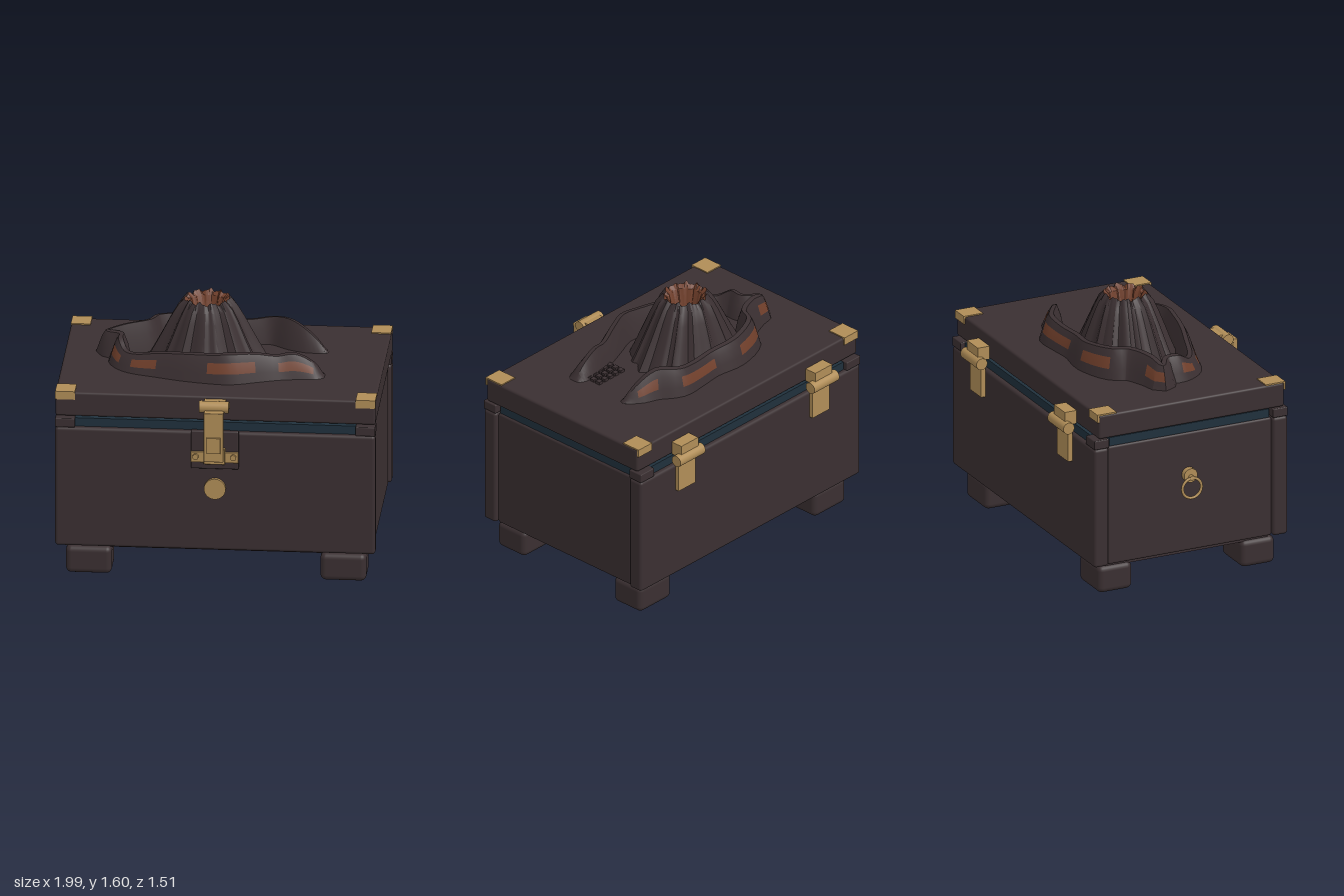
import * as THREE from 'three';
import { RoundedBoxGeometry } from 'three/addons/geometries/RoundedBoxGeometry.js';
import { toCreasedNormals } from 'three/addons/utils/BufferGeometryUtils.js';

const material = (name, color, side = THREE.FrontSide) => {
  const m = new THREE.MeshStandardMaterial({ color, side });
  m.name = name;
  return m;
};

// Surface through a grid of points; pick(i, j) gives the material index of a cell
function gridGeometry(points, pick) {
  const lists = [[], []];
  for (let i = 0; i < points.length - 1; i++) {
    for (let j = 0; j < points[i].length - 1; j++) {
      const a = points[i][j], b = points[i + 1][j];
      const c = points[i + 1][j + 1], d = points[i][j + 1];
      for (const p of [a, b, d, b, c, d]) lists[pick(i, j)].push(...p);
    }
  }
  const geo = new THREE.BufferGeometry();
  geo.setAttribute('position', new THREE.Float32BufferAttribute(lists.flat(), 3));
  const first = lists[0].length / 3;
  geo.addGroup(0, first, 0);
  geo.addGroup(first, lists[1].length / 3, 1);
  return toCreasedNormals(geo, 0.55);
}

export function createModel() {
  const model = new THREE.Group();
  model.name = 'volcanoChest';
  const stone = material('darkStone', 0x3a2f31, THREE.DoubleSide);
  const gold = material('brass', 0xb08d57);
  const blue = material('deepBlue', 0x1f303c);
  const lava = material('lava', 0x6f3e2a, THREE.DoubleSide);

  const add = (name, geo, mat, x = 0, y = 0, z = 0) => {
    const mesh = new THREE.Mesh(geo, mat);
    mesh.name = name;
    mesh.position.set(x, y, z);
    model.add(mesh);
    return mesh;
  };
  // Box given by its limits, rounded when r > 0
  const box = (name, mat, [x0, x1], [y0, y1], [z0, z1], r = 0) => {
    const s = [x1 - x0, y1 - y0, z1 - z0];
    const geo = r ? new RoundedBoxGeometry(...s, 3, r) : new THREE.BoxGeometry(...s);
    return add(name, geo, mat, (x0 + x1) / 2, (y0 + y1) / 2, (z0 + z1) / 2);
  };
  // Cylinder lying along the x or z axis
  const rod = (name, mat, axis, r, length, x, y, z) => {
    const geo = new THREE.CylinderGeometry(r, r, length, 28);
    if (axis === 'x') geo.rotateZ(Math.PI / 2);
    else geo.rotateX(Math.PI / 2);
    return add(name, geo, mat, x, y, z);
  };

  // Chest body
  box('frontPanel', stone, [-0.96, 0.99], [0.2, 0.97], [0.53, 0.63], 0.02);
  box('backPanel', stone, [-0.96, 0.99], [0.2, 0.97], [-0.68, -0.58], 0.02);
  box('sidePanels', stone, [-0.94, 0.97], [0.2, 0.97], [-0.58, 0.53], 0.015);
  box('plinth', stone, [-0.88, 0.91], [0.165, 0.22], [-0.58, 0.53]);
  box('innerRim', blue, [-0.93, 0.96], [0.965, 1.024], [-0.565, 0.515]);
  box('innerRimLong', blue, [-0.84, 0.87], [0.965, 1.024], [-0.65, 0.6]);
  for (const x of [[-0.96, -0.84], [0.87, 0.99]]) {
    for (const z of [[0.53, 0.63], [-0.68, -0.58]]) {
      box('rimCorner', stone, x, [0.97, 1.028], z, 0.006);
    }
  }
  for (const x of [[-0.9, -0.62], [0.65, 0.93]]) {
    for (const z of [[0.345, 0.575], [-0.62, -0.39]]) {
      box('foot', stone, x, [0, 0.175], z, 0.035);
    }
  }

  // Lid with brass corners
  box('lid', stone, [-0.96, 0.99], [1.035, 1.19], [-0.65, 0.605], 0.015);
  for (const x of [[-0.96, -0.84], [0.87, 0.99]]) {
    box('cornerTop', gold, x, [1.188, 1.197], [0.48, 0.612]);
    box('cornerFront', gold, x, [1.145, 1.197], [0.603, 0.612]);
    box('cornerTop', gold, x, [1.188, 1.197], [-0.66, -0.53]);
    box('cornerBack', gold, x, [1.145, 1.197], [-0.659, -0.648]);
  }

  // Hinges
  for (const x of [-0.58, 0.61]) {
    rod('hingeBarrel', gold, 'x', 0.037, 0.22, x, 1.025, -0.72);
    box('hingeUpperLeaf', gold, [x - 0.075, x + 0.075], [1.035, 1.12], [-0.73, -0.65]);
    box('hingeLowerLeaf', gold, [x - 0.075, x + 0.075], [0.795, 1.01], [-0.708, -0.68]);
  }

  // Front latch
  box('latchBackplate', stone, [-0.13, 0.16], [0.74, 0.985], [0.625, 0.66], 0.008);
  box('latchBracket', gold, [-0.05, 0.08], [0.78, 0.88], [0.65, 0.69], 0.005);
  box('latchEars', gold, [-0.13, 0.16], [0.785, 0.855], [0.655, 0.672], 0.005);
  for (const x of [-0.1, 0.13]) rod('latchScrew', gold, 'z', 0.018, 0.03, x, 0.825, 0.675);
  rod('latchBarrel', gold, 'x', 0.036, 0.18, 0.012, 1.145, 0.662);
  box('latchMount', gold, [-0.05, 0.08], [1.12, 1.175], [0.605, 0.66]);
  box('latchArm', gold, [-0.045, 0.075], [1.108, 1.132], [0.66, 0.743], 0.005);
  box('latchStrap', gold, [-0.045, 0.075], [0.815, 1.13], [0.714, 0.743], 0.006);
  box('latchInset', gold, [-0.026, 0.057], [0.875, 0.975], [0.74, 0.755]);
  rod('frontMedallion', gold, 'z', 0.066, 0.022, 0.015, 0.605, 0.64);

  // Ring pull on the right side
  rod('pullPlate', gold, 'x', 0.045, 0.04, -0.955, 0.7, -0.035);
  rod('pullPost', gold, 'x', 0.016, 0.05, -0.972, 0.69, -0.035);
  add('pullRing', new THREE.TorusGeometry(0.064, 0.009, 10, 36), gold, -0.99, 0.625, -0.035)
    .rotation.y = Math.PI / 2;

  // Pleated cone with a lava-lined crater: [radius, height, z stretch]
  const profile = [
    [0.365, 1.185, 0.8], [0.312, 1.28, 0.82], [0.265, 1.37, 0.85], [0.215, 1.47, 0.88],
    [0.175, 1.54, 0.92], [0.135, 1.585, 0.95], [0.105, 1.56, 1], [0.07, 1.42, 1], [0.001, 1.42, 1],
  ];
  const steps = 96;
  const cone = profile.map(([r, y, sz], row) => Array.from({ length: steps + 1 }, (_, j) => {
    const a = -(j / steps) * Math.PI * 2;
    const pleat = 0.035 * Math.sin(16 * a) + 0.03 * Math.sin(9 * a + 1) + 0.015 * Math.sin(29 * a);
    const rr = r * (1 + (row < 7 ? pleat : 0));
    const lift = row === 5 ? 0.009 * Math.sin(11 * a) + 0.005 * Math.sin(24 * a) : 0;
    return [-0.085 + rr * Math.cos(a), y + lift, -0.04 + rr * sz * Math.sin(a)];
  }));
  add('volcano', gridGeometry(cone, (i) => (i === 5 || i === 6 ? 1 : 0)), [stone, lava]);

  // Winding rock ridge: crest points as [x, z, height]
  const crest = [
    [0.64, -0.19, 0], [0.55, -0.22, 0.1], [0.42, -0.27, 0.18], [0.3, -0.35, 0.17],
    [0.16, -0.345, 0.15], [0, -0.33, 0.15], [-0.2, -0.35, 0.17], [-0.4, -0.28, 0.19],
    [-0.45, -0.19, 0.19], [-0.6, -0.12, 0.18], [-0.7, -0.09, 0.15], [-0.61, -0.02, 0.16],
    [-0.61, 0.06, 0.16], [-0.57, 0.14, 0.11], [-0.51, 0.19, 0.11], [-0.36, 0.24, 0.14],
    [-0.2, 0.29, 0.16], [-0.05, 0.32, 0.17], [0.08, 0.33, 0.18], [0.22, 0.28, 0.17],
    [0.36, 0.23, 0.14], [0.46, 0.21, 0.15], [0.58, 0.2, 0.09], [0.65, 0.2, 0],
  ];
  const section = [
    [0.072, 0], [0.054, 0.35], [0.034, 0.72], [0.012, 0.97], [-0.016, 1], [-0.04, 0.6], [-0.062, 0],
  ];
  const lavaSpans = new Set([1, 3, 4, 6, 9, 12, 14, 17, 18, 20, 21]);
  const curve = new THREE.CatmullRomCurve3(crest.map(([x, z, h]) => new THREE.Vector3(x, h, z)));
  const per = 4, total = (crest.length - 1) * per;
  const ridge = Array.from({ length: total + 1 }, (_, i) => {
    const p = curve.getPoint(i / total), t = curve.getTangent(i / total);
    const len = Math.hypot(t.x, t.z);
    const taper = Math.min(1, 0.35 + i / 8, 0.6 + (total - i) / 8);
    return section.map(([off, h]) => [
      p.x - (t.z / len) * off * taper,
      1.187 + Math.max(0, p.y) * h,
      p.z + (t.x / len) * off * taper,
    ]);
  });
  const isLava = (i, j) => (j === 1 && lavaSpans.has(Math.floor(i / per)) ? 1 : 0);
  add('lavaRidge', gridGeometry(ridge, isLava), [stone, lava]);

  // Small studs on the lid
  for (let i = 0; i < 5; i++) {
    for (let j = 0; j < 3; j++) {
      const x = 0.37 + i * 0.048, z = 0.068 + j * 0.045;
      box('lidStud', stone, [x - 0.016, x + 0.016], [1.185, 1.207], [z - 0.016, z + 0.016]);
    }
  }
  return model;
}
